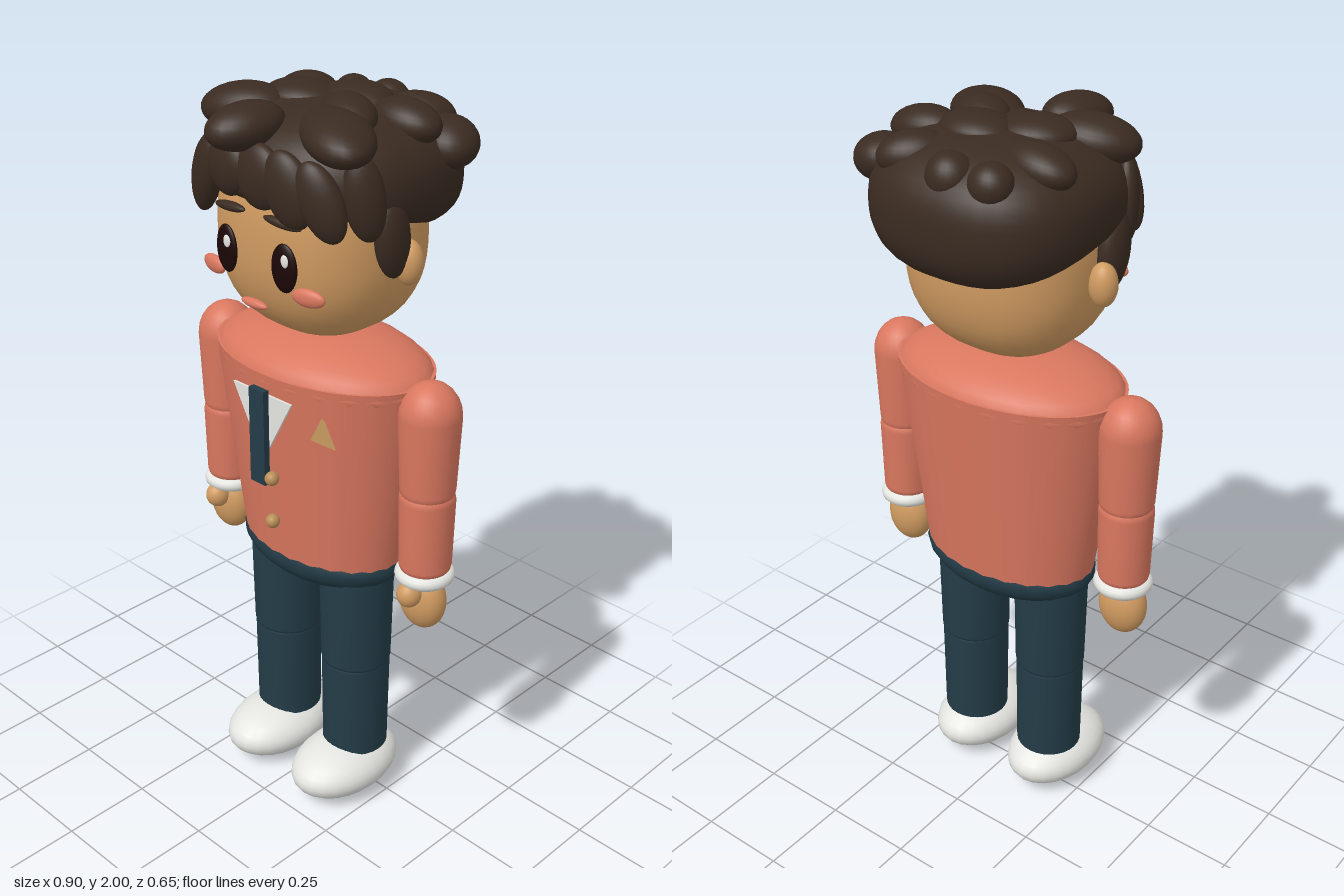
import * as THREE from 'three';
import { mergeVertices } from 'three/addons/utils/BufferGeometryUtils.js';

const paint = (name, color) => {
  const m = new THREE.MeshStandardMaterial({ color });
  m.name = name;
  return m;
};

export function createModel() {
  const model = new THREE.Group();
  model.name = 'figure';
  const skin = paint('skin', 0xcf9a60), coral = paint('coral jacket', 0xd9775f);
  const hair = paint('dark brown hair', 0x3a2b21), navy = paint('dark teal cloth', 0x233c47);
  const white = paint('white', 0xe4e4e0), eyeDark = paint('eye', 0x1c0707);
  const brass = paint('brass', 0xb98d55);

  const add = (name, geo, mat, pos, parent = model) => {
    const mesh = new THREE.Mesh(geo, mat);
    mesh.name = name;
    mesh.position.set(...pos);
    parent.add(mesh);
    return mesh;
  };
  const ball = (name, mat, pos, radii, rot = [0, 0, 0], parent = model) => {
    const mesh = add(name, new THREE.SphereGeometry(1, 24, 16), mat, pos, parent);
    mesh.scale.set(...radii);
    mesh.rotation.set(...rot);
    return mesh;
  };
  // Limb section: a lathe with softly rounded ends
  const limb = (name, mat, pos, rTop, rBottom, top, bottom, capTop, capBottom, parent) => {
    const pts = [];
    for (let i = 0; i <= 6; i++) {
      const a = (i / 6) * Math.PI / 2;
      pts.push(new THREE.Vector2(rBottom * Math.sin(a), bottom + capBottom * (1 - Math.cos(a))));
    }
    for (let i = 0; i <= 6; i++) {
      const a = (i / 6) * Math.PI / 2;
      pts.push(new THREE.Vector2(rTop * Math.cos(a), top - capTop * (1 - Math.sin(a))));
    }
    return add(name, new THREE.LatheGeometry(pts, 28), mat, pos, parent);
  };
  // Sphere pushed out toward a rounded box, then shaped by a rule
  const roundedBlob = (n, shape) => {
    let geo = new THREE.SphereGeometry(1, 40, 28);
    geo.deleteAttribute('uv');
    geo.deleteAttribute('normal');
    geo = mergeVertices(geo, 1e-4);
    const p = geo.attributes.position;
    for (let i = 0; i < p.count; i++) {
      const v = [p.getX(i), p.getY(i), p.getZ(i)];
      const k = v.reduce((s, c) => s + Math.abs(c) ** n, 0) ** (-1 / n);
      p.setXYZ(i, ...shape(v[0] * k, v[1] * k, v[2] * k));
    }
    geo.computeVertexNormals();
    return geo;
  };

  // Torso, shoulders and hips
  const torso = add('jacket', new THREE.CylinderGeometry(0.335, 0.255, 0.56, 48), coral, [0, 1.03, 0.005]);
  torso.scale.z = 0.65;
  ball('shoulders', coral, [0, 1.29, 0.005], [0.335, 0.1, 0.217]);
  ball('hips', navy, [0, 0.75, 0.005], [0.262, 0.102, 0.17]);

  // Shirt, tie, buttons and badge
  const vee = new THREE.Shape([[-0.105, 1.26], [0, 1.07], [0.105, 1.26]].map(q => new THREE.Vector2(...q)));
  add('shirt', new THREE.ExtrudeGeometry(vee, { depth: 0.006, bevelEnabled: false }), white, [0, 0, 0.22]);
  add('tie', new THREE.BoxGeometry(0.053, 0.265, 0.018), navy, [-0.002, 1.142, 0.235]);
  for (const y of [1.032, 0.907]) ball('button', brass, [0.038, y, 0.232], [0.019, 0.019, 0.019]);
  const badgeGeo = new THREE.ConeGeometry(0.053, 0.04, 3).toNonIndexed();
  badgeGeo.computeVertexNormals();
  badgeGeo.rotateX(Math.PI / 2).rotateZ(Math.PI);
  badgeGeo.computeBoundingBox();
  // Keep the single corner upward
  if (badgeGeo.boundingBox.max.y < 0.04) badgeGeo.rotateZ(Math.PI);
  add('badge', badgeGeo, brass, [0.17, 1.185, 0.2]);

  // Arms and legs
  for (const s of [1, -1]) {
    const side = s > 0 ? 'left' : 'right';
    const arm = new THREE.Group();
    arm.name = side + 'Arm';
    arm.position.set(s * 0.37, 0, 0.008);
    model.add(arm);
    limb('upperSleeve', coral, [0, 0, 0], 0.08, 0.072, 1.34, 1.0, 0.09, 0.05, arm);
    limb('lowerSleeve', coral, [0, 0, 0], 0.073, 0.069, 1.07, 0.79, 0.05, 0.04, arm);
    const cuff = add('cuff', new THREE.TorusGeometry(0.06, 0.019, 12, 32), white, [0, 0.798, 0], arm);
    cuff.rotation.x = Math.PI / 2;
    ball('hand', skin, [0, 0.722, 0.004], [0.069, 0.086, 0.052], [0, 0, 0], arm);
    ball('thumb', skin, [0, 0.758, 0.058], [0.033, 0.036, 0.035], [0, 0, 0], arm);

    const leg = new THREE.Group();
    leg.name = side + 'Leg';
    leg.position.set(s * 0.134, 0, 0.014);
    model.add(leg);
    limb('thigh', navy, [0, 0, 0], 0.102, 0.097, 0.78, 0.4, 0.07, 0.035, leg);
    limb('shin', navy, [0, 0, 0], 0.095, 0.092, 0.47, 0.13, 0.05, 0.01, leg);
    ball('shoe', white, [0, 0.08, 0.042], [0.123, 0.078, 0.178], [0, 0, 0], leg);
  }

  // Head
  add('head', roundedBlob(2.5, (x, y, z) => [x * 0.257, y * 0.265, z * 0.23]), skin, [0, 1.65, 0.008]);
  for (const s of [1, -1]) {
    ball('ear', skin, [s * 0.28, 1.62, 0], [0.037, 0.057, 0.035]);
    ball('eye', eyeDark, [s * 0.1, 1.62, 0.237], [0.039, 0.061, 0.012], [0, s * 0.1, 0]);
    ball('eyeHighlight', white, [s * 0.1 + 0.012, 1.643, 0.248], [0.012, 0.016, 0.004]);
    ball('cheek', coral, [s * 0.165, 1.559, 0.222], [0.047, 0.023, 0.014], [0, s * 0.2, 0]);
    ball('eyebrow', hair, [s * 0.09, 1.727, 0.232], [0.058, 0.012, 0.014], [0, s * 0.1, -s * 0.08]);
    ball('sideburn', hair, [s * 0.272, 1.69, 0.052], [0.034, 0.1, 0.052], [0.12, 0, 0]);
  }
  ball('mouth', coral, [0, 1.506, 0.243], [0.045, 0.012, 0.013]);

  // Hair cap, lower at the nape and higher over the brow
  add('hairCap', roundedBlob(2.5, (x, y, z) =>
    [x * 0.3, y * (y > 0 ? 0.18 : 0.135 - 0.075 * z), z * 0.288]), hair, [0, 1.79, -0.035]);

  // Crown tufts: x, y, z, length, height, width, yaw, roll
  const tufts = [
    [-0.18, 1.925, -0.12, 0.097, 0.05, 0.062, -0.1, 0.15],
    [-0.175, 1.93, 0.1, 0.115, 0.058, 0.078, 0.35, 0.12],
    [-0.04, 1.93, 0.222, 0.104, 0.055, 0.072, 1.4, 0.1],
    [0.165, 1.925, 0.125, 0.14, 0.055, 0.085, -0.55, -0.12],
    [0.11, 1.945, 0.035, 0.1, 0.053, 0.066, -0.5, -0.05],
    [0.195, 1.93, -0.075, 0.095, 0.052, 0.064, 0.05, -0.12],
    [0.245, 1.87, -0.17, 0.085, 0.06, 0.075, -0.7, -0.2],
    [0.13, 1.91, -0.195, 0.09, 0.055, 0.062, 0.7, -0.12],
    [-0.02, 1.9, -0.245, 0.06, 0.06, 0.057, 0, 0],
    [-0.13, 1.9, -0.235, 0.057, 0.055, 0.053, 0, 0],
    [-0.08, 1.95, 0.0, 0.1, 0.045, 0.08, 0.3, 0],
    [0.04, 1.952, -0.07, 0.1, 0.045, 0.08, 0, 0],
  ];
  for (const [x, y, z, l, h, w, yaw, roll] of tufts) {
    ball('crownTuft', hair, [x, y, z], [l, h, w], [0, yaw, roll]).rotation.order = 'YZX';
  }

  // Fringe locks: x, y, z, half width, half height, lean, turn
  const fringe = [
    [-0.255, 1.79, 0.12, 0.05, 0.11, -0.1, -0.9],
    [-0.19, 1.785, 0.215, 0.056, 0.115, -0.45, -0.4],
    [-0.09, 1.83, 0.235, 0.075, 0.075, -0.4, -0.15],
    [0.02, 1.825, 0.235, 0.075, 0.08, 0.2, 0],
    [0.11, 1.81, 0.23, 0.065, 0.095, 0.35, 0.2],
    [0.195, 1.795, 0.21, 0.055, 0.1, 0.4, 0.4],
    [0.255, 1.8, 0.13, 0.05, 0.105, 0.15, 0.9],
  ];
  for (const [x, y, z, w, h, lean, turn] of fringe) {
    ball('fringeLock', hair, [x, y, z], [w, h, 0.034], [0, turn, lean]).rotation.order = 'YZX';
  }
  return model;
}
